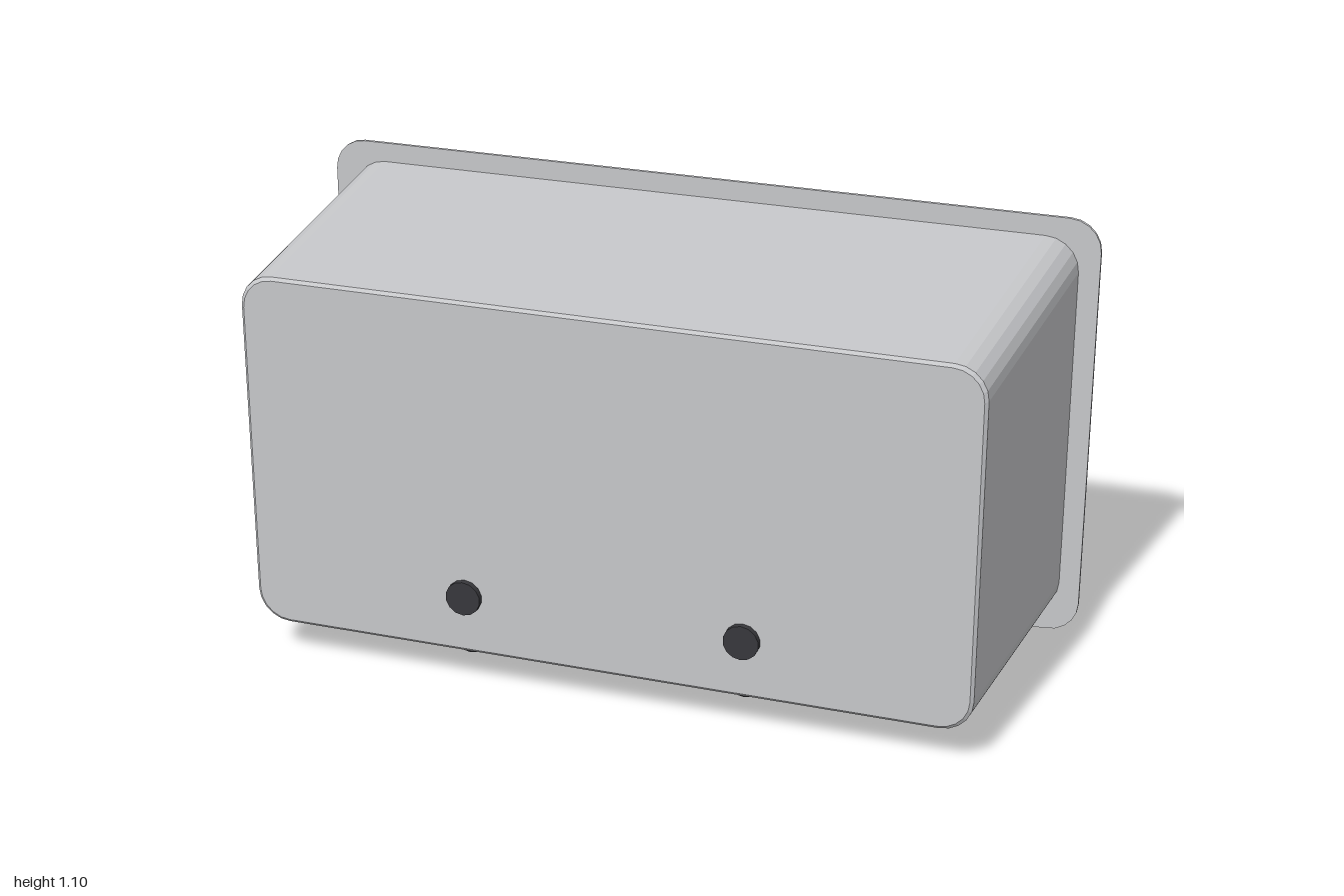
import * as THREE from 'three';

const mat = (name, color, extra = {}) => {
  const m = new THREE.MeshStandardMaterial({ color, ...extra });
  m.name = name;
  return m;
};

// Facet a geometry so every side keeps a crisp edge
function faceted(geo) {
  const g = geo.index ? geo.toNonIndexed() : geo;
  g.computeVertexNormals();
  return g;
}

// Rounded rectangle outline, counter-clockwise, centred on (0, cy)
function ring(hw, hh, r, z, cy = 0.55, steps = 5) {
  const pts = [];
  [[1, 1], [-1, 1], [-1, -1], [1, -1]].forEach(([sx, sy], q) => {
    for (let i = 0; i <= steps; i++) {
      const a = (q + i / steps) * Math.PI / 2;
      pts.push([sx * (hw - r) + r * Math.cos(a), cy + sy * (hh - r) + r * Math.sin(a), z]);
    }
  });
  return pts;
}

// Skin a list of outlines, closing both ends
function loft(rings) {
  const n = rings[0].length, pos = rings.flat(2), idx = [];
  rings.slice(1).forEach((_, k) => {
    for (let i = 0; i < n; i++) {
      const j = (i + 1) % n, a = k * n, b = a + n;
      idx.push(a + i, b + i, b + j, a + i, b + j, a + j);
    }
  });
  const first = rings.length * n, last = first + 1, tail = first - n;
  pos.push(0, 0.55, rings[0][0][2], 0, 0.55, rings[rings.length - 1][0][2]);
  for (let i = 0; i < n; i++) {
    const j = (i + 1) % n;
    idx.push(first, i, j, last, tail + j, tail + i);
  }
  const g = new THREE.BufferGeometry();
  g.setAttribute('position', new THREE.Float32BufferAttribute(pos, 3));
  g.setIndex(idx);
  return faceted(g);
}

export function createModel() {
  const model = new THREE.Group();
  model.name = 'carInTray';
  const tub = mat('light grey tray', 0xc6c7ca);
  const paint = mat('pale body paint', 0xd2d3d5);
  const blue = mat('blue', 0x2f7fd1);
  const black = mat('black rubber', 0x38383c);
  const steel = mat('hubcap grey', 0xa9aaad);

  const add = (name, geo, material, x = 0, y = 0, z = 0, parent = model) => {
    const m = new THREE.Mesh(geo, material);
    m.name = name;
    m.position.set(x, y, z);
    parent.add(m);
    return m;
  };

  // Tray: front panel, tapered outer wall, flange, inner wall, inner panel
  add('tray', loft([
    ring(0.897, 0.447, 0.075, 0.385),
    ring(0.905, 0.455, 0.08, 0.378),
    ring(0.948, 0.5, 0.085, -0.376),
    ring(1, 0.55, 0.08, -0.376),
    ring(1, 0.55, 0.08, -0.385),
    ring(0.938, 0.49, 0.075, -0.385),
    ring(0.897, 0.447, 0.07, 0.376),
  ]), tub);

  const car = new THREE.Group();
  car.name = 'car';
  model.add(car);

  // Body: side profile extruded across the width with a chamfer
  const side = new THREE.Shape([
    [0.49, 0.24], [0.49, 0.435], [0.42, 0.447], [-0.2, 0.44], [-0.53, 0.3], [-0.54, 0.24],
  ].map(([x, y]) => new THREE.Vector2(x, y)));
  const bodyGeo = new THREE.ExtrudeGeometry(side, {
    depth: 0.48, bevelEnabled: true, bevelThickness: 0.03, bevelSize: 0.025,
    bevelOffset: -0.025, bevelSegments: 1,
  });
  add('body', faceted(bodyGeo), paint, 0, 0, -0.24, car);

  // Chassis plate and cabin trim
  add('chassis', new THREE.BoxGeometry(0.99, 0.045, 0.52), blue, -0.015, 0.227, 0, car);
  add('cabinTrim', new THREE.BoxGeometry(0.33, 0.012, 0.53), blue, 0.065, 0.45, 0, car);

  // Cabin: box narrowed toward the roof
  const cabin = new THREE.BoxGeometry(1, 1, 1);
  const p = cabin.attributes.position;
  for (let i = 0; i < p.count; i++) {
    const roof = p.getY(i) > 0, back = p.getX(i) > 0;
    const x = roof ? (back ? 0.143 : -0.012) : (back ? 0.22 : -0.09);
    p.setXYZ(i, x, roof ? 0.622 : 0.455, Math.sign(p.getZ(i)) * (roof ? 0.22 : 0.255));
  }
  add('cabin', faceted(cabin), paint, 0, 0, 0, car);

  // Three-sided spikes on the tail and roof
  const spike = faceted(new THREE.ConeGeometry(0.13, 0.295, 3));
  for (const [name, x, y] of [['tailSpike', 0.464, 0.446], ['roofSpike', 0.06, 0.594]]) {
    add(name, spike, blue, x, y + 0.1475, 0, car).rotation.y = Math.PI;
  }

  // Bumpers
  const bar = new THREE.CylinderGeometry(0.032, 0.032, 0.54, 10).rotateX(Math.PI / 2);
  add('frontBumper', bar, black, -0.56, 0.25, 0, car);
  add('rearBumper', bar, black, 0.51, 0.25, 0, car);

  // Wheels, each with a tyre, a hubcap and an axle end
  const tyre = faceted(new THREE.LatheGeometry([
    [0, -0.05], [0.145, -0.05], [0.162, -0.037], [0.162, 0.033], [0.14, 0.046], [0, 0.046],
  ].map(([r, y]) => new THREE.Vector2(r, y)), 16)).rotateX(Math.PI / 2);
  const cap = new THREE.CylinderGeometry(0.087, 0.087, 0.02, 16).rotateX(Math.PI / 2);
  const hub = new THREE.CylinderGeometry(0.044, 0.044, 0.04, 14).rotateX(Math.PI / 2);
  const axle = new THREE.CylinderGeometry(0.025, 0.025, 0.6, 10).rotateX(Math.PI / 2);
  for (const x of [-0.35, 0.35]) {
    add('axle', axle, black, x, 0.245, 0, car);
    for (const s of [1, -1]) {
      const wheel = new THREE.Group();
      wheel.name = 'wheel';
      wheel.position.set(x, 0.245, 0.33 * s);
      if (s < 0) wheel.rotation.y = Math.PI;
      add('tyre', tyre, black, 0, 0, 0, wheel);
      add('hubcap', cap, steel, 0, 0, 0.0435, wheel);
      add('axleEnd', hub, black, 0, 0, 0.05, wheel);
      car.add(wheel);
    }
  }
  return model;
}
